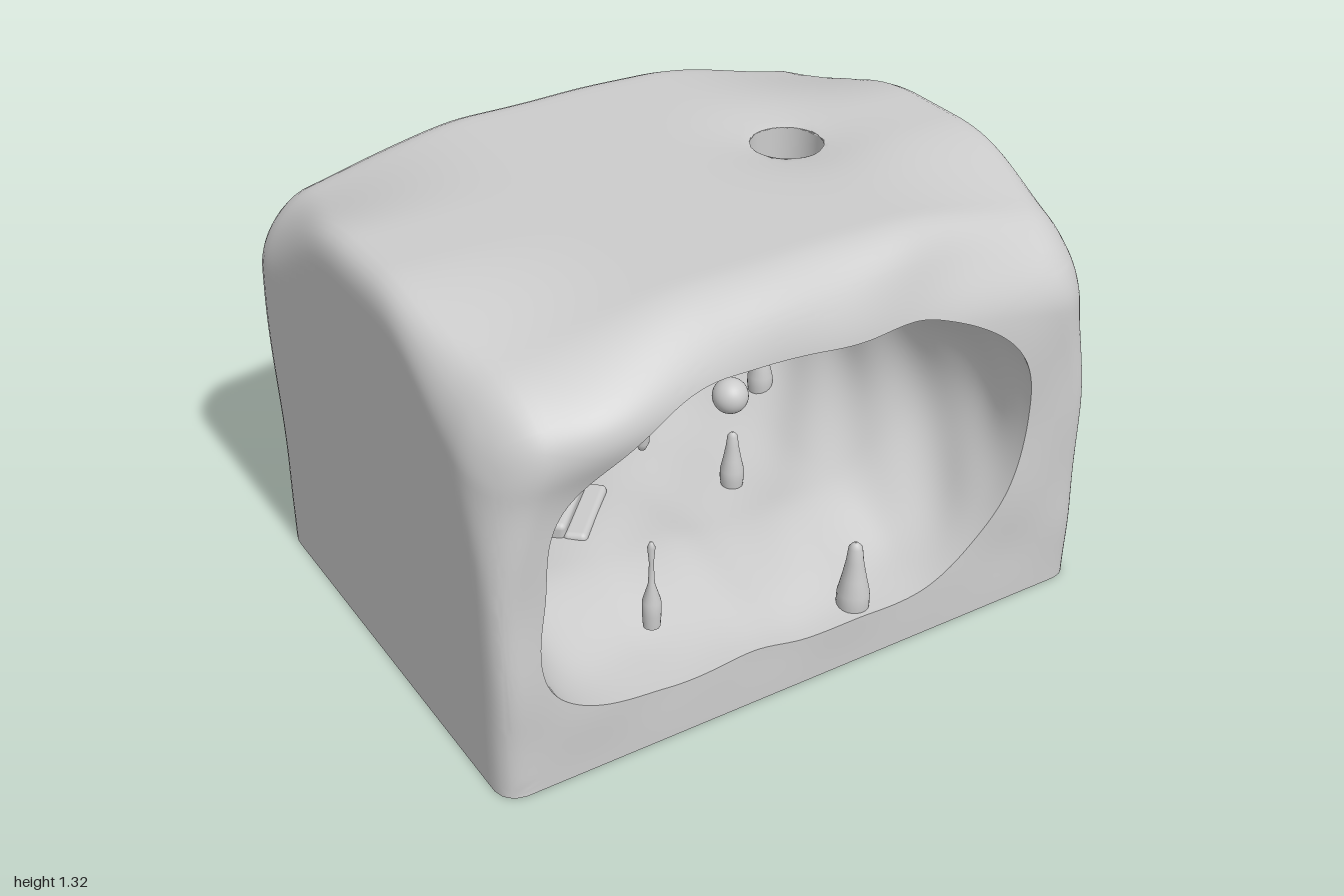
import * as THREE from 'three';
import { toCreasedNormals } from 'three/addons/utils/BufferGeometryUtils.js';
import { RoundedBoxGeometry } from 'three/addons/geometries/RoundedBoxGeometry.js';

const { lerp, smoothstep, clamp } = THREE.MathUtils;
const grey = new THREE.MeshStandardMaterial({ color: 0xcccccc });
const greyOpen = new THREE.MeshStandardMaterial({ color: 0xcccccc, side: THREE.DoubleSide });

const HOLE = { x: 0.435, z: -0.045, r: 0.112 };
const CX = -0.03, CY = 0.65;
// cave mouth: radius from its centre at every 22.5 degrees
const MOUTH = [0.79, 0.78, 0.62, 0.49, 0.47, 0.53, 0.69, 0.82, 0.82, 0.87, 0.65, 0.49, 0.48, 0.52, 0.66, 0.75];

let seed = 7;
const rnd = () => (seed = (seed * 16807) % 2147483647) / 2147483647 - 0.5;

const bell = (a, w) => Math.exp(-(a * a) / (w * w));
const rough = (x, y, z) =>
  Math.sin(7 * x + 3 * y + 2 * z) * Math.sin(5 * y - 6 * z + 1) + 0.5 * Math.sin(15 * x + 4 * z) * Math.sin(13 * y + 11 * z);

function mouthRadius(angle) {
  const f = ((angle / (Math.PI / 8)) + 16) % 16, i = Math.floor(f), t = f - i;
  const [a, b, c, d] = [-1, 0, 1, 2].map(o => MOUTH[(i + o + 16) % 16]);
  return b + 0.5 * t * (c - a + t * (2 * a - 5 * b + 4 * c - d + t * (3 * (b - c) + d - a)));
}

// rounds the block's edges (the base stays sharp), drops its top corners and adds its bulges
function weather(p) {
  const front = p.z > 0, az = Math.abs(p.z);
  const top = smoothstep(p.y, 0.6, 1.2), end = smoothstep(az, 0.2, 0.7);
  const rearCorner = !front && p.x < 0 ? 1 : 0;
  const R = [
    lerp(0.07, rearCorner ? 0.17 : lerp(0.07, 0.16, top), end),
    0.09 + 0.17 * end,
    lerp(rearCorner ? 0.15 : 0.07, front ? 0.2 : 0.15, top)
  ];
  const q = [clamp(p.x, -1 + R[0], 1 - R[0]), Math.min(p.y, 1.33 - R[1]), clamp(p.z, -0.79 + R[2], 0.77 - R[2])];
  const d = p.toArray().map((v, i) => (v - q[i]) / R[i]);
  const len = Math.hypot(...d);
  if (len > 1) p.set(...q.map((v, i) => v + d[i] / len * R[i]));
  p.y -= 0.13 * smoothstep(p.y, 0.6, 1.3) * smoothstep(Math.abs(p.x), 0.3, 1) * smoothstep(Math.abs(p.z), 0.1, 0.76);
  const f = smoothstep(p.z, 0.4, 0.75), b = smoothstep(-p.z, 0.3, 0.78);
  p.z += f * (0.075 * bell(p.x + 0.65, 0.28) * bell(p.y - 1.13, 0.15) - 0.05 * bell(p.x - 0.55, 0.3) * bell(p.y - 1.2, 0.15));
  p.z -= b * 0.043 * bell(p.y - 0.83, 0.28);
  p.z += 0.006 * (f + b) * rough(p.x, p.y, 0) * smoothstep(p.y, 0.02, 0.3);
  return p;
}

// one continuous skin: back, sides, front, mouth and inner cave, as loops along z
function rockGeometry() {
  const loop = [];
  const side = (x0, y0, x1, y1, n) => {
    for (let i = 0; i < n; i++) loop.push([lerp(x0, x1, i / n), lerp(y0, y1, i / n)]);
  };
  side(1, 0.01, 1, 1.33, 44);
  side(1, 1.33, -1, 1.33, 66);
  side(-1, 1.33, -1, 0.01, 44);
  side(-1, 0.01, 1, 0.01, 60);
  const N = loop.length;
  const angles = loop.map(([x, y]) => Math.atan2(y - CY, x - CX));
  const rim = angles.map(a => [CX + mouthRadius(a) * Math.cos(a), CY + mouthRadius(a) * Math.sin(a)]);

  const rows = [];
  const outer = (fn) => rows.push(loop.map((p, i) => weather(fn(p, rim[i]))));
  for (let k = 0; k <= 28; k++)
    outer(([x, y]) => new THREE.Vector3(lerp(CX, x, k / 28), lerp(CY, y, k / 28), -0.79));
  for (let k = 1; k <= 48; k++) outer(([x, y]) => new THREE.Vector3(x, y, lerp(-0.79, 0.77, k / 48)));
  for (let k = 1; k <= 16; k++)
    outer(([x, y], [u, v]) => new THREE.Vector3(lerp(x, u, k / 16), lerp(y, v, k / 16), 0.77));

  // inner cave, narrowing from the mouth and closing at a rounded back wall
  const edge = rows[rows.length - 1].map(p => p.z);
  for (let k = 1; k <= 46; k++) {
    const t = Math.min(1, k / 34), end = Math.max(0, (k - 34) / 12);
    const close = Math.cos(end * Math.PI / 2), throat = smoothstep(t, 0, 0.4);
    rows.push(rim.map(([x, y], i) => {
      // the upper left wall leans inwards
      const pinch = 1 - 0.1 * throat * bell(angles[i] - 2.55, 0.45);
      const sx = lerp(1, x > CX ? 0.97 : 0.93, throat) * close * pinch;
      const sy = lerp(1, 0.77, throat) * close * pinch;
      const px = CX + (x - CX) * sx, py = CY + (y - CY) * sy;
      const pz = lerp(edge[i], -0.46, t) - 0.15 * Math.sin(end * Math.PI / 2);
      const n = 0.024 * rough(px, py, pz) * smoothstep(k, 0, 6);
      return new THREE.Vector3(px + n * (px - CX), py + n * (py - CY) * 1.5, pz + (end > 0 ? n : 0));
    }));
  }

  // sky hole: dip the top around it, then pull the skin out to a clean circle
  const pts = rows.flat();
  const dist = p => Math.hypot(p.x - HOLE.x, p.z - HOLE.z);
  pts.forEach(p => { if (p.y > 1.2) p.y -= 0.04 * bell(dist(p), 0.2); });
  const index = [];
  const inHole = i => pts[i].y > 0.85 && dist(pts[i]) < HOLE.r;
  const tri = (...t) => { if (!t.every(inHole)) index.push(...t); };
  for (let k = 0; k < rows.length - 1; k++)
    for (let i = 0; i < N; i++) {
      const j = (i + 1) % N, a = k * N + i, b = k * N + j;
      tri(a, b, b + N);
      tri(a, b + N, a + N);
    }
  pts.forEach((p, i) => {
    if (!inHole(i)) return;
    const s = HOLE.r / Math.max(dist(p), 1e-4);
    p.x = HOLE.x + (p.x - HOLE.x) * s;
    p.z = HOLE.z + (p.z - HOLE.z) * s;
  });
  const g = new THREE.BufferGeometry().setFromPoints(pts);
  g.setIndex(index);
  return toCreasedNormals(g, 1.1);
}

export function createModel() {
  const model = new THREE.Group();
  const add = (name, geo, x, y, z, parent = model, mat = grey) => {
    const m = new THREE.Mesh(geo, mat);
    m.name = name;
    m.position.set(x, y, z);
    parent.add(m);
    return m;
  };

  add('caveRock', rockGeometry(), 0, 0, 0);
  add('skyShaft', new THREE.CylinderGeometry(HOLE.r, HOLE.r, 0.31, 40, 1, true), HOLE.x, 1.145, HOLE.z, model, greyOpen);
  add('backStrip', new THREE.BoxGeometry(0.04, 0.65, 0.08), -0.59, 0.795, -0.797);
  add('floatingBall', new THREE.SphereGeometry(0.053, 32, 20), -0.035, 0.79, 0.38);

  // dripstones: x, z, base height, tip height, base radius
  const drip = (name, x, z, y0, y1, r, waist = 0.75) => {
    const h = y1 - y0;
    const profile = [[0.9, -0.12], [1, 0.05], [0.98, 0.22], [waist, 0.45], [waist * 0.7, 0.72], [0.42, 0.93], [0.2, 0.99], [0, 1]]
      .map(([a, b]) => new THREE.Vector2(a * r, b * Math.abs(h)));
    const m = add(name, new THREE.LatheGeometry(profile, 20), x, y0, z);
    if (h < 0) m.rotation.x = Math.PI;
  };
  [[-0.55, 0.12, 0.32, 0.52, 0.04], [-0.19, -0.26, 0.32, 0.52, 0.05], [0.07, -0.28, 0.28, 0.46, 0.042],
   [0.15, 0.12, 0.29, 0.46, 0.038], [0.19, 0.71, 0.17, 0.39, 0.05], [0.51, -0.26, 0.32, 0.5, 0.042]]
    .forEach(a => drip('stalagmite', ...a));
  drip('thinStalagmite', -0.41, 0.56, 0.27, 0.53, 0.028, 0.35);
  [[-0.27, 0.28, 1.0, 0.63, 0.05], [-0.18, 0.26, 1.0, 0.73, 0.045], [-0.23, 0.2, 1.0, 0.8, 0.04]]
    .forEach(a => drip('stalactite', ...a));

  // stone wall set diagonally in the rear left corner, with an arch and steps
  const wall = new THREE.Group();
  wall.name = 'archWall';
  wall.position.set(-0.57, 0, -0.16);
  wall.rotation.y = Math.PI / 4;
  model.add(wall);
  const stone = (name, w, h, d, x, y, z, turn = 0) => {
    const m = add(name, new RoundedBoxGeometry(w, h, d, 2, 0.018), x, y, z, wall);
    m.rotation.set(rnd() * 0.12, rnd() * 0.12, turn + rnd() * 0.12);
  };
  add('wallCore', new THREE.BoxGeometry(0.62, 0.7, 0.03), 0.02, 0.63, -0.04, wall);
  const rowH = 0.082;
  for (let r = 0; r < 9; r++)
    for (let c = 0; c < 6; c++) {
      const x = -0.28 + c * 0.125 - (r % 2) * 0.06, y = 0.34 + r * rowH;
      const inArch = Math.abs(x) < 0.17 && y < 0.62 || Math.hypot(x, y - 0.62) < 0.19;
      if (!inArch) stone('wallStone', 0.122, rowH - 0.002, 0.07, x, y, rnd() * 0.02);
    }
  for (let i = 0; i < 9; i++) {
    const a = Math.PI * i / 8;
    stone('archStone', 0.075, 0.062, 0.1, 0.145 * Math.cos(a), 0.62 + 0.165 * Math.sin(a), 0.015, a);
  }
  for (const s of [-1, 1])
    for (let i = 0; i < 3; i++) stone('jambStone', 0.075, 0.07, 0.1, s * 0.145, 0.42 + i * 0.072, 0.015);
  for (let i = 0; i < 5; i++) {
    const h = 0.26 - i * 0.036;
    stone('step', 0.28, h, 0.075, 0, 0.21 + h / 2, 0.05 + i * 0.068);
  }
  return model;
}
